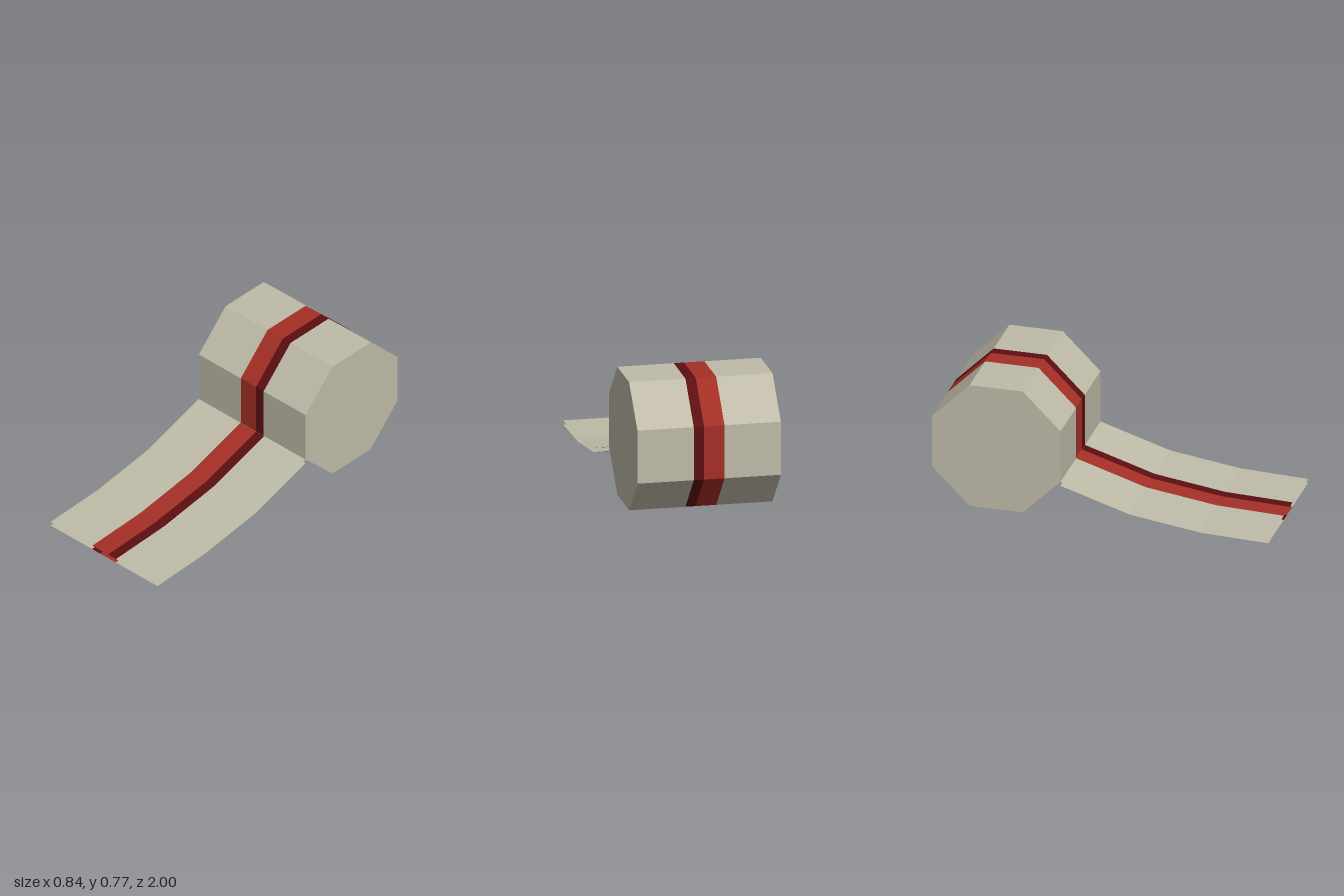
import * as THREE from 'three';

const HALF = 0.42; // half width of the cloth
const RADIUS = 0.414, ROLL_Y = 0.39, ROLL_Z = -0.6175;

const material = (name, color) => new THREE.MeshStandardMaterial({
  name, color, flatShading: true, side: THREE.DoubleSide,
});

// Sweeps a [z, y] profile across x0..x1; a profile running toward +z faces up
function strip(profile, x0, x1) {
  const pos = [];
  for (let i = 0; i + 1 < profile.length; i++) {
    const [za, ya] = profile[i], [zb, yb] = profile[i + 1];
    const a = [x0, ya, za], b = [x0, yb, zb], c = [x1, yb, zb], d = [x1, ya, za];
    pos.push(...a, ...b, ...c, ...a, ...c, ...d);
  }
  const g = new THREE.BufferGeometry();
  g.setAttribute('position', new THREE.Float32BufferAttribute(pos, 3));
  g.computeVertexNormals();
  return g;
}

export function createModel() {
  const cream = material('cream cloth', 0xbfbba8);
  const red = material('red stripe', 0xa42f26);
  const dark = material('dark red stripe', 0x5c0e10);
  const model = new THREE.Group();
  model.name = 'bedroll';

  // One cloth surface cut into four bands: cream, two stripes, cream
  function cloth(name, profile, cuts, mats) {
    const group = new THREE.Group();
    group.name = name;
    const xs = [-HALF, ...cuts, HALF];
    mats.forEach((mat, i) => {
      const mesh = new THREE.Mesh(strip(profile, xs[i], xs[i + 1]), mat);
      mesh.name = name + ' ' + mat.name;
      group.add(mesh);
    });
    model.add(group);
  }

  // Eight-sided roll
  const ring = [];
  for (let i = 0; i <= 8; i++) {
    const t = (i + 0.5) * Math.PI / 4;
    ring.push([ROLL_Z + RADIUS * Math.sin(t), ROLL_Y + RADIUS * Math.cos(t)]);
  }
  cloth('roll', ring, [-0.09, 0.03, 0.09], [cream, red, dark, cream]);

  // Roll ends
  for (const side of [-1, 1]) {
    const geo = new THREE.CircleGeometry(RADIUS, 8, Math.PI / 8);
    geo.rotateY(side * Math.PI / 2);
    const cap = new THREE.Mesh(geo, cream);
    cap.position.set(side * HALF, ROLL_Y, ROLL_Z);
    cap.name = side > 0 ? 'leftRollEnd' : 'rightRollEnd';
    model.add(cap);
  }

  // Unrolled flap: an upper sheet and a lower sheet with mirrored stripes
  const flap = [[-0.235, 0.23], [0.18, 0.1], [0.6, 0.04], [1, 0.025]];
  const under = flap.map(([z, y]) => [z, y - 0.025]).reverse();
  cloth('flapTop', flap, [-0.092, 0.031, 0.094], [cream, red, dark, cream]);
  cloth('flapUnderside', under, [-0.094, -0.031, 0.092], [cream, dark, red, cream]);

  return model;
}
